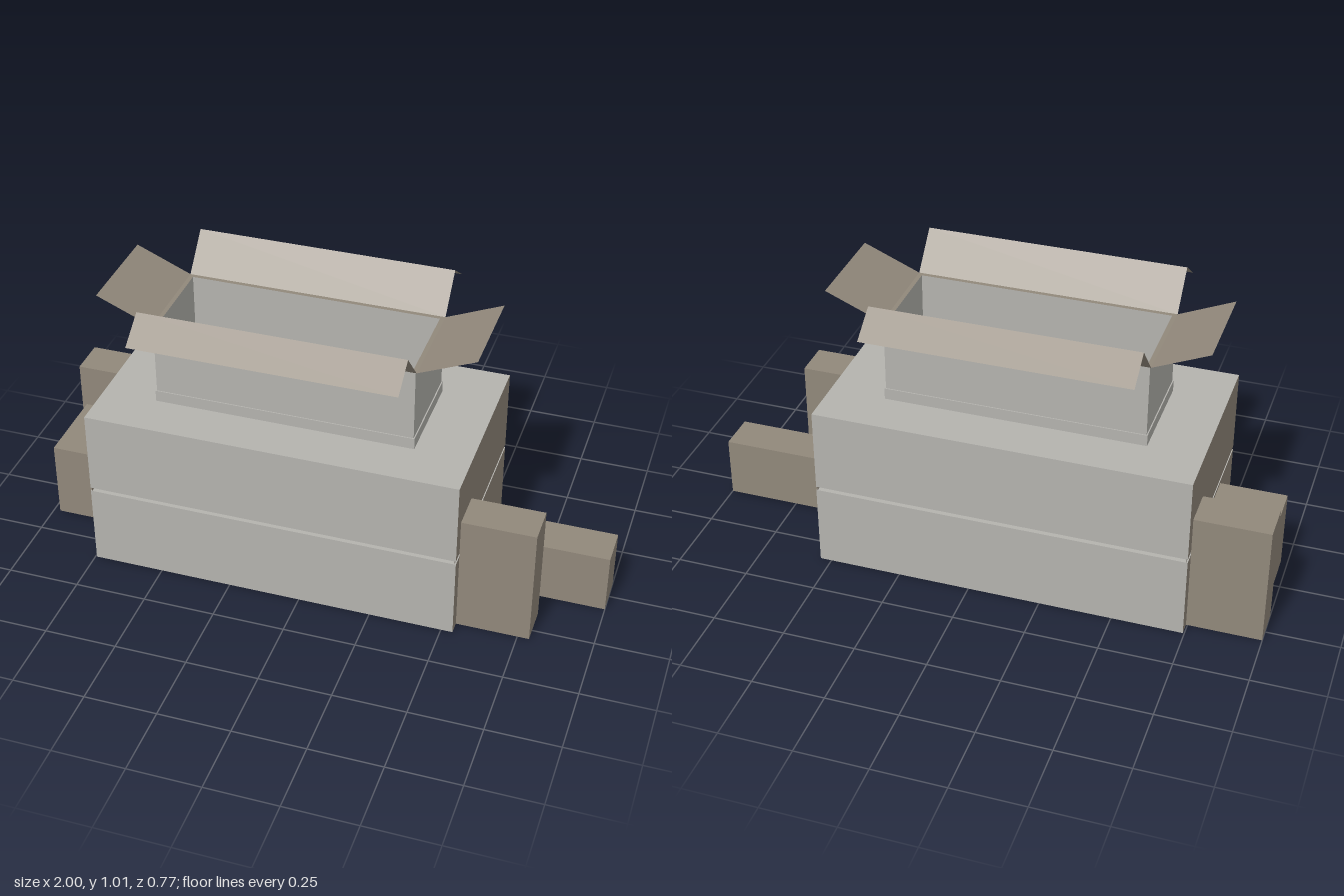
import * as THREE from 'three';

export function createModel() {
  const model = new THREE.Group();
  const mat = (name, color) => {
    const m = new THREE.MeshStandardMaterial({ color, side: THREE.DoubleSide });
    m.name = name;
    return m;
  };
  const gray = mat('grayCard', 0xb4b3ae);
  const brown = mat('brownCard', 0x91887b);

  const add = (name, geometry, material) => {
    const mesh = new THREE.Mesh(geometry, material);
    mesh.name = name;
    model.add(mesh);
    return mesh;
  };

  // Closed or open box given by its limits; skip lists the faces left out
  // (0 +x, 1 -x, 2 +y, 3 -y, 4 +z, 5 -z)
  const box = (name, [x0, x1], [y0, y1], [z0, z1], material, skip = []) => {
    const g = new THREE.BoxGeometry(x1 - x0, y1 - y0, z1 - z0);
    g.translate((x0 + x1) / 2, (y0 + y1) / 2, (z0 + z1) / 2);
    const all = Array.from(g.index.array);
    const groups = g.groups.map((gr) => gr.materialIndex).filter((i) => !skip.includes(i));
    g.setIndex(groups.flatMap((i) => all.slice(i * 6, i * 6 + 6)));
    g.clearGroups();
    if (Array.isArray(material)) groups.forEach((i, n) => g.addGroup(n * 6, 6, i));
    return add(name, g, material);
  };

  // Flat four-cornered sheet
  const sheet = (name, corners, material) => {
    const g = new THREE.BufferGeometry();
    g.setAttribute('position', new THREE.Float32BufferAttribute(corners.flat(), 3));
    g.setIndex([0, 1, 2, 0, 2, 3]);
    g.computeVertexNormals();
    return add(name, g, material);
  };

  // Two large stacked boxes with brown ends and a narrow slot between them
  const bodyX = [-0.745, 0.54], bodyZ = [-0.34, 0.34];
  const brownEnds = [brown, brown, gray, gray, gray, gray];
  box('lowerBox', bodyX, [0, 0.29], bodyZ, brownEnds);
  box('upperBox', bodyX, [0.303, 0.595], bodyZ, brownEnds);
  for (const [x, s] of [[bodyX[0] + 0.005, -1], [bodyX[1] - 0.005, 1]]) {
    sheet('slotEnd', [
      [x, 0.29, s * 0.34], [x, 0.29, -s * 0.34], [x, 0.303, -s * 0.34], [x, 0.303, s * 0.34],
    ], brown);
  }

  // Small side boxes, hollow underneath
  box('tallLeftBox', [0.54, 0.79], [0, 0.43], [0.16, 0.295], brown, [3]);
  box('longLeftBox', [0.54, 1], [0, 0.215], [-0.07, 0.07], brown, [3]);
  box('tallRightBox', [-1, -0.745], [0, 0.43], [-0.295, -0.16], brown, [3]);
  box('wideRightBox', [-0.977, -0.745], [0, 0.28], [-0.145, 0.14],
    [brown, brown, brown, gray, brown, brown]);

  // Open box on top: base band, outer walls, inner walls with floor
  const x0 = -0.555, x1 = 0.345, d = 0.175, top = 0.89;
  box('openBoxBase', [x0, x1], [0.595, 0.635], [-d, d], gray, [3]);
  box('openBoxWalls', [x0 + 0.004, x1 - 0.004], [0.635, top], [-d + 0.004, d - 0.004], gray, [2, 3]);
  box('openBoxLining', [x0 + 0.015, x1 - 0.015], [0.64, top], [-d + 0.015, d - 0.015], gray, [2]);

  // Brown rim between the walls and the lining
  const rim = new THREE.Shape();
  rim.moveTo(x0, -d).lineTo(x1, -d).lineTo(x1, d).lineTo(x0, d).closePath();
  const hole = new THREE.Path();
  const t = 0.015;
  hole.moveTo(x0 + t, -d + t).lineTo(x0 + t, d - t).lineTo(x1 - t, d - t).lineTo(x1 - t, -d + t).closePath();
  rim.holes.push(hole);
  add('openBoxRim', new THREE.ShapeGeometry(rim).rotateX(-Math.PI / 2).translate(0, top, 0), brown);

  // Long flaps, each creased along its middle
  for (const s of [-1, 1]) {
    const profile = [[top, d], [1.008, 0.283], [0.935, 0.385]];
    for (let i = 0; i < 2; i++) {
      const [ya, za] = profile[i], [yb, zb] = profile[i + 1];
      const a = s > 0 ? x0 : x1, b = s > 0 ? x1 : x0;
      sheet(i ? 'longFlapOuter' : 'longFlapInner',
        [[a, ya, s * za], [a, yb, s * zb], [b, yb, s * zb], [b, ya, s * za]], brown);
    }
  }

  // Short end flaps, sloping up and outward
  for (const [a, b, s] of [[x0, -0.745, -1], [x1, 0.54, 1]]) {
    sheet('endFlap', [[a, top, s * d], [b, 0.972, s * d], [b, 0.972, -s * d], [a, top, -s * d]], brown);
  }

  return model;
}
